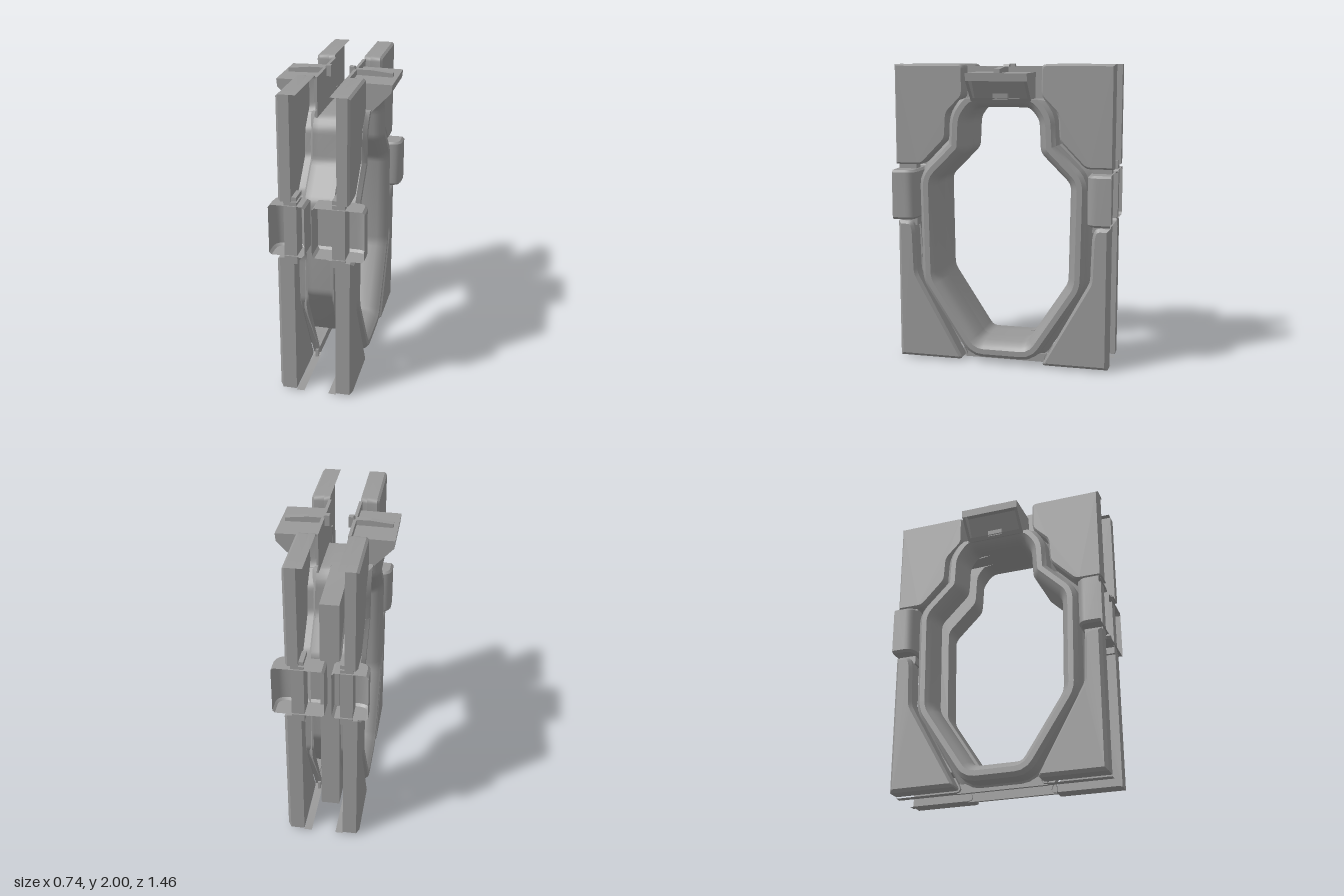
import * as THREE from 'three';
import { toCreasedNormals } from 'three/addons/utils/BufferGeometryUtils.js';

const grey = new THREE.MeshStandardMaterial({ color: 0x999999, side: THREE.DoubleSide });

// Round the inner corners of an open path
function round(path, r, n = 3) {
  const out = [path[0]];
  for (let i = 1; i < path.length - 1; i++) {
    const p = path[i];
    const toward = q => {
      const l = Math.hypot(q[0] - p[0], q[1] - p[1]);
      const t = Math.min(r, l * 0.45) / l;
      return [p[0] + (q[0] - p[0]) * t, p[1] + (q[1] - p[1]) * t];
    };
    const a = toward(path[i - 1]), b = toward(path[i + 1]);
    for (let k = 0; k <= n; k++) {
      const t = k / n, s = 1 - t;
      out.push([0, 1].map(c => s * s * a[c] + 2 * s * t * p[c] + t * t * b[c]));
    }
  }
  out.push(path[path.length - 1]);
  return out;
}

// Mitred offset of a counter-clockwise path, positive is outward
function offset(path, d, closed) {
  const n = path.length;
  const normal = (a, b) => {
    const l = Math.hypot(b[0] - a[0], b[1] - a[1]);
    return [(b[1] - a[1]) / l, (a[0] - b[0]) / l];
  };
  return path.map((p, i) => {
    const prev = i > 0 || closed ? path[(i - 1 + n) % n] : null;
    const next = i < n - 1 || closed ? path[(i + 1) % n] : null;
    const n1 = prev ? normal(prev, p) : normal(p, next);
    const n2 = next ? normal(p, next) : n1;
    const k = d / (1 + n1[0] * n2[0] + n1[1] * n2[1]);
    return [p[0] + (n1[0] + n2[0]) * k, p[1] + (n1[1] + n2[1]) * k];
  });
}

// Skin through layers of [level, offset]; caps lists the layers to fill
function shell(name, path, layers, place, { closed = false, caps = [], maxV = Infinity } = {}) {
  const n = path.length, pos = [], idx = [];
  const loops = layers.map(([, d]) => offset(path, d, closed).map(p => [p[0], Math.min(p[1], maxV)]));
  loops.forEach((loop, j) => loop.forEach(p => pos.push(...place(p[0], p[1], layers[j][0]))));
  for (let j = 0; j < layers.length - 1; j++) {
    for (let i = 0; i < (closed ? n : n - 1); i++) {
      const a = j * n + i, b = j * n + (i + 1) % n;
      idx.push(a, b, b + n, a, b + n, a + n);
    }
  }
  for (const j of caps) {
    const flat = loops[j].map(p => new THREE.Vector2(p[0], p[1]));
    for (const t of THREE.ShapeUtils.triangulateShape(flat, [])) idx.push(...t.map(v => v + j * n));
  }
  const g = new THREE.BufferGeometry();
  g.setAttribute('position', new THREE.Float32BufferAttribute(pos, 3));
  g.setIndex(idx);
  const mesh = new THREE.Mesh(toCreasedNormals(g.toNonIndexed(), 0.6), grey);
  mesh.name = name;
  return mesh;
}

function box(name, w, h, d, x, y, z) {
  const m = new THREE.Mesh(new THREE.BoxGeometry(w, h, d), grey);
  m.position.set(x, y, z);
  m.name = name;
  return m;
}

// Plate with an x-y outline, centred on z
function plate(name, pts, depth, sx, z) {
  const shape = new THREE.Shape(pts.map(p => new THREE.Vector2(p[0] * sx, p[1])));
  const g = new THREE.ExtrudeGeometry(shape, { depth, bevelEnabled: false });
  g.translate(0, 0, z - depth / 2);
  const m = new THREE.Mesh(g, grey);
  m.name = name;
  return m;
}

export function createModel() {
  const model = new THREE.Group();
  model.name = 'doorFrame';

  // Doorway outline as [z, y], front half then the mirrored back half
  const half = round([[0, 0.15], [0.16, 0.15], [0.44, 0.58], [0.45, 1.23], [0.25, 1.43],
    [0.24, 1.64], [0.18, 1.72], [0, 1.72]], 0.035);
  const back = half.slice(1, -1).reverse().map(([z, y]) => [-z, y]);
  const outline = [...half, ...back];

  // Liner strip at the middle, and the square door pocket behind it
  const acrossX = (u, v, w) => [w, v, u];
  const slot = [[-0.09, 0], [0.03, 0]];
  model.add(shell('doorLiner', [[-0.1, 0.15], ...half, [-0.1, 1.72]], slot, acrossX));
  const pocket = [[-0.1, 1.72], [-0.17, 1.715], [-0.6, 1.7], [-0.6, 0.16], [-0.1, 0.15]];
  model.add(shell('doorPocket', pocket, slot, acrossX));
  const pocketSide = [...pocket, ...back.slice().reverse()];
  for (const x of [-0.09, 0.03]) {
    model.add(shell('pocketWall', pocketSide, [[x, 0]], acrossX, { caps: [0] }));
  }

  const upper = round([[0.73, 1.995], [0.26, 1.995], [0.26, 1.79], [0.37, 1.68], [0.38, 1.51],
    [0.55, 1.335], [0.73, 1.335]], 0.03);
  const lower = round([[0.715, 0.955], [0.62, 0.955], [0.6, 0.9], [0.59, 0.6], [0.27, 0.015],
    [0.715, 0.015]], 0.03);

  for (const sx of [1, -1]) {
    const side = new THREE.Group();
    side.name = sx > 0 ? 'leftSide' : 'rightSide';
    model.add(side);

    // Raised rim around the doorway, with its flange
    side.add(shell('doorRim', outline,
      [[sx > 0 ? 0.03 : 0.09, 0], [0.17, 0], [0.21, 0.02], [0.225, 0.035], [0.24, 0.05],
        [0.24, 0.085], [0.215, 0.11], [0.12, 0.115], [0.09, 0.15]],
      (u, v, w) => [w * sx, v, u], { closed: true, maxV: 1.775 }));

    // Plate above the doorway, and sill under it
    side.add(box('headPlate', 0.02, 0.26, 0.52, 0.1 * sx, 1.85, 0));
    side.add(box('sillPlate', 0.02, 0.06, 0.6, 0.1 * sx, 0.03, 0));

    for (const sz of [1, -1]) {
      const place = (u, v, w) => [w * sx, v, u * sz];
      // Corner panels, each a solid body with a thin lip toward the middle
      side.add(shell('upperPanelLip', upper, [[0.1, 0], [0.14, 0]], place));
      side.add(shell('upperPanel', upper, [[0.14, 0], [0.205, 0], [0.22, -0.012]], place,
        { closed: true, caps: [0, 2] }));
      side.add(shell('lowerPanelLip', lower, [[0.08, 0.01], [0.13, 0.01]], place));
      side.add(shell('lowerPanel', lower, [[0.13, 0], [0.22, 0], [0.24, -0.02]], place,
        { closed: true, caps: [0, 2] }));
      side.add(box('panelSpine', 0.08, 0.44, 0.12, 0.15 * sx, 1.14, 0.655 * sz));

      // Clip wrapped around the edge, open at the end
      const [inner, outer] = sx > 0 ? [-0.015, 0.31] : [0.06, 0.285];
      const clip = [[inner, 0.725], ...round([[inner, 0.57], [outer, 0.57], [outer, 0.725]], 0.085, 6)];
      side.add(shell('edgeClip', clip, [[0.975, -0.015], [0.99, 0], [1.29, 0], [1.305, -0.015]],
        (u, v, w) => [u * sx, w, v * sz], { caps: [0, 3] }));

      // Gusset at each end of the lamp bracket
      side.add(plate('bracketGusset', [[0.1, 1.76], [0.24, 1.76], [0.365, 1.89], [0.365, 1.935], [0.1, 1.935]],
        0.02, sx, 0.19 * sz));
    }

    // Bracket over the doorway: top slab, recessed back, bottom lip and bump
    side.add(plate('bracketTop', [[0.1, 1.91], [0.355, 1.91], [0.365, 1.89], [0.37, 1.94], [0.1, 1.945]],
      0.4, sx, 0));
    side.add(plate('bracketBack', [[0.1, 1.77], [0.215, 1.77], [0.3, 1.91], [0.1, 1.91]], 0.37, sx, 0));
    side.add(plate('bracketLip', [[0.1, 1.76], [0.24, 1.76], [0.26, 1.78], [0.1, 1.78]], 0.4, sx, 0));
    side.add(plate('bracketBump', [[0.2, 1.77], [0.255, 1.77], [0.26, 1.81], [0.2, 1.81]], 0.1, sx, 0));

    // Thin fin along the bracket top, ending in a tab
    side.add(plate('bracketFin', [[0.06, 1.925], [0.1, 1.925], [0.34, 1.93], [0.34, 1.965], [0.2, 1.98],
      [0.1, 1.98], [0.09, 1.995], [0.06, 1.995]], 0.04, sx, 0));
  }
  return model;
}
